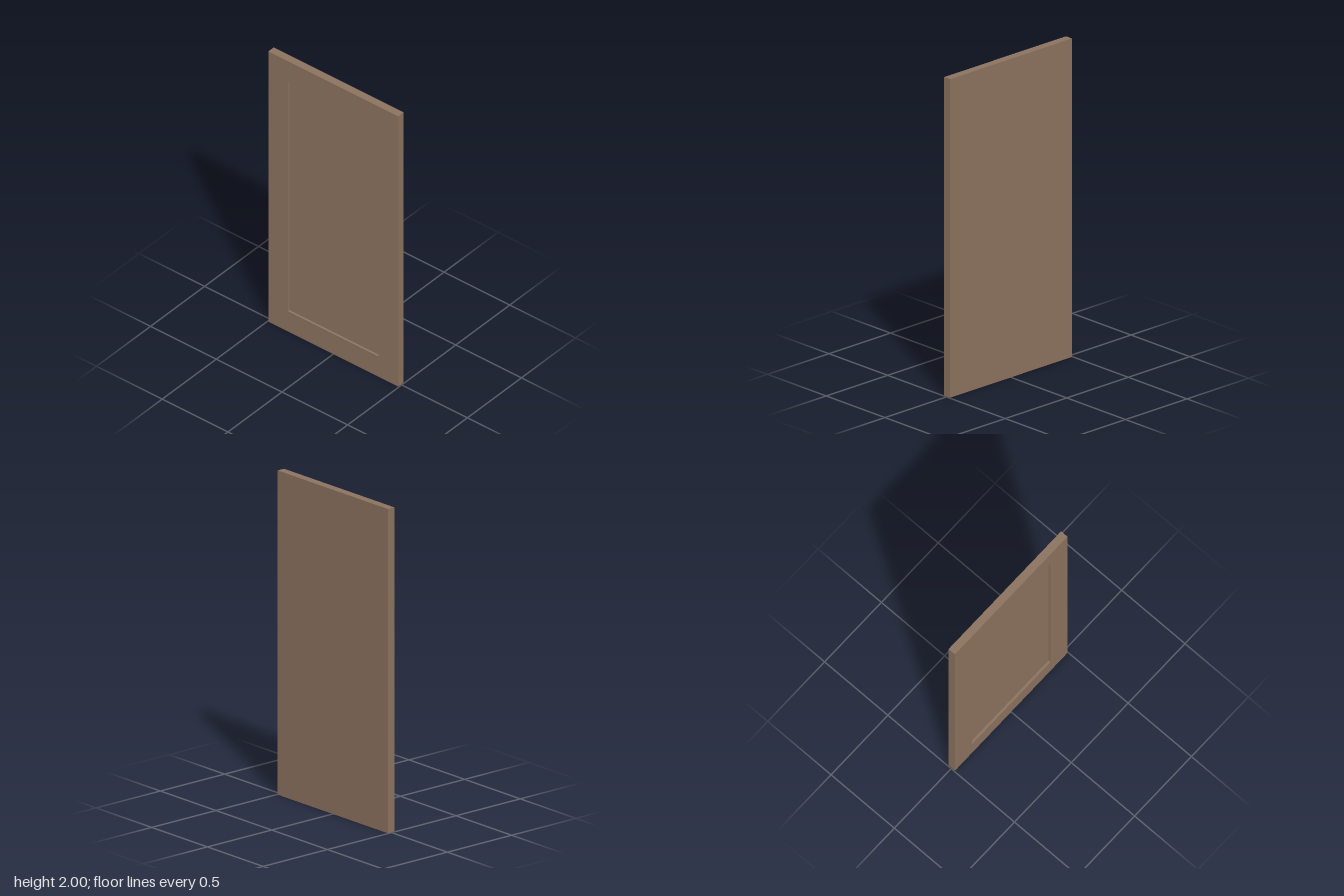
import * as THREE from 'three';

const WIDTH = 0.99, HEIGHT = 2, DEPTH = 0.05;
const BORDER = 0.15, RECESS = 0.015;

// Rectangle corners, counter-clockwise seen from the front
function rectangle(inset, z) {
  const x = WIDTH / 2 - inset, y0 = inset, y1 = HEIGHT - inset;
  return [[-x, y0, z], [x, y0, z], [x, y1, z], [-x, y1, z]];
}

// Closed skin through a series of rectangles, capped at both ends
function loftRectangles(rings) {
  const positions = [];
  const quad = (a, b, c, d) => positions.push(...a, ...b, ...c, ...a, ...c, ...d);
  for (let i = 0; i < rings.length - 1; i++) {
    for (let k = 0; k < 4; k++) {
      const n = (k + 1) % 4;
      quad(rings[i][k], rings[i][n], rings[i + 1][n], rings[i + 1][k]);
    }
  }
  quad(...[...rings[0]].reverse());
  quad(...rings[rings.length - 1]);
  const geometry = new THREE.BufferGeometry();
  geometry.setAttribute('position', new THREE.Float32BufferAttribute(positions, 3));
  geometry.computeVertexNormals();
  return geometry;
}

export function createModel() {
  const group = new THREE.Group();
  group.name = 'cabinetDoor';
  const wood = new THREE.MeshStandardMaterial({ color: 0x8b725e });

  // Door slab: back edge, front edge, recess lip, recessed panel
  const door = new THREE.Mesh(loftRectangles([
    rectangle(0, -DEPTH / 2),
    rectangle(0, DEPTH / 2),
    rectangle(BORDER, DEPTH / 2),
    rectangle(BORDER, DEPTH / 2 - RECESS),
  ]), wood);
  door.name = 'recessedDoorPanel';
  group.add(door);
  return group;
}
